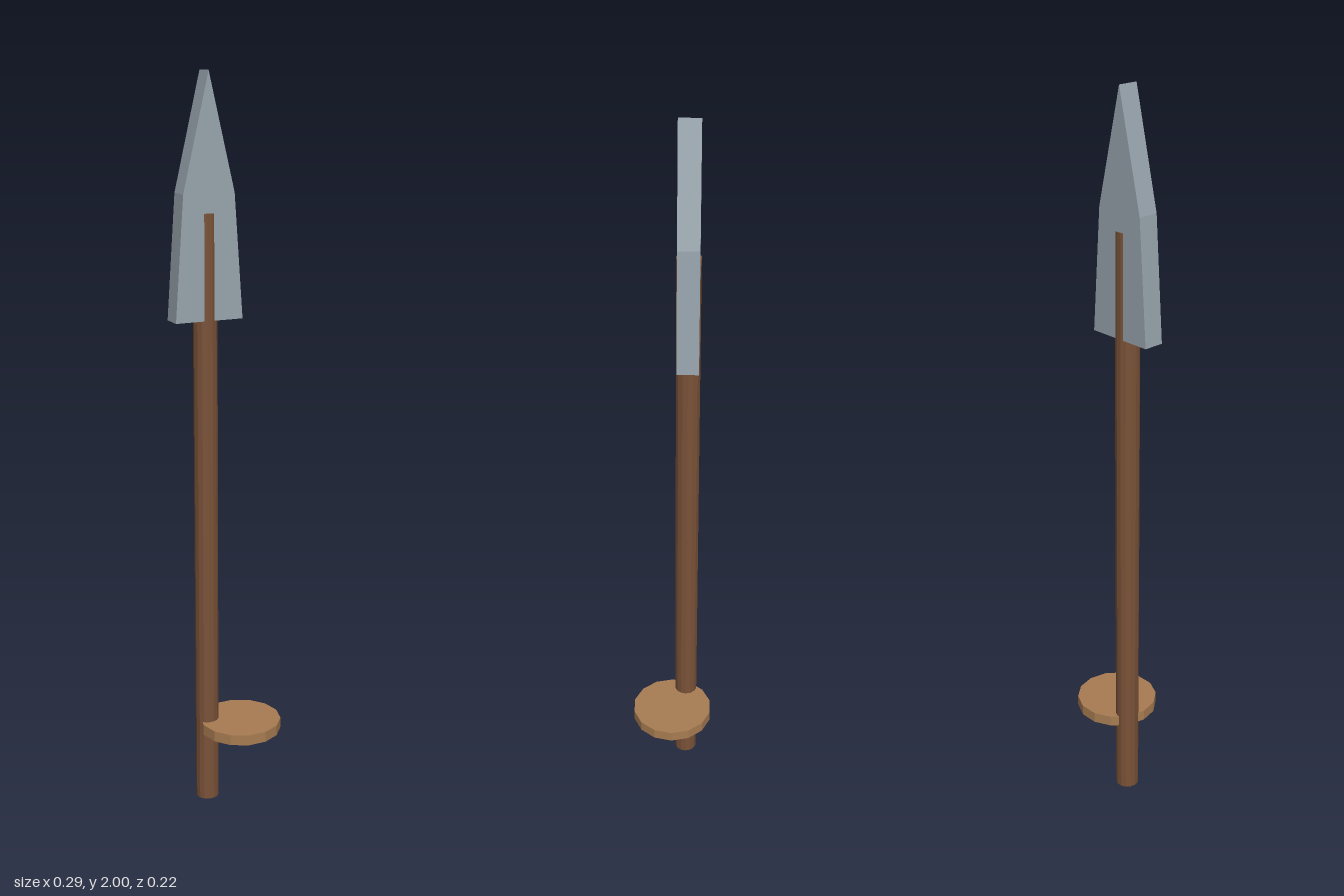
import * as THREE from 'three';

const SIDES = 14;
const AXIS_X = -0.053, AXIS_Z = -0.039;

function part(name, geometry, color, x, y, z) {
  const material = new THREE.MeshStandardMaterial({ color, flatShading: true });
  const mesh = new THREE.Mesh(geometry, material);
  mesh.name = name;
  mesh.position.set(x, y, z);
  return mesh;
}

// Low-poly rod or disc with corners on the x axis, standing on its base
function prism(radius, height) {
  return new THREE.CylinderGeometry(radius, radius, height, SIDES, 1, false, Math.PI / 2)
    .translate(0, height / 2, 0);
}

export function createModel() {
  const spear = new THREE.Group();
  spear.name = 'spear';

  // Shaft runs up into the blade and shows as a rib on both faces
  spear.add(part('shaft', prism(0.032, 1.65), 0x7a5238, AXIS_X, 0, AXIS_Z));

  // Hand guard disc, set off-centre from the shaft
  spear.add(part('handGuard', prism(0.113, 0.03), 0xa87c52, 0.032, 0.209, 0));

  // Flat blade with a tapered tip
  const outline = new THREE.Shape([
    [-0.094, 0], [0.094, 0], [0.071, 0.325], [0, 0.625], [-0.071, 0.325],
  ].map(([x, y]) => new THREE.Vector2(x, y)));
  const blade = new THREE.ExtrudeGeometry(outline, { depth: 0.056, bevelEnabled: false })
    .translate(0, 0, -0.028);
  spear.add(part('blade', blade, 0x98a4ad, AXIS_X, 1.375, AXIS_Z));

  return spear;
}
